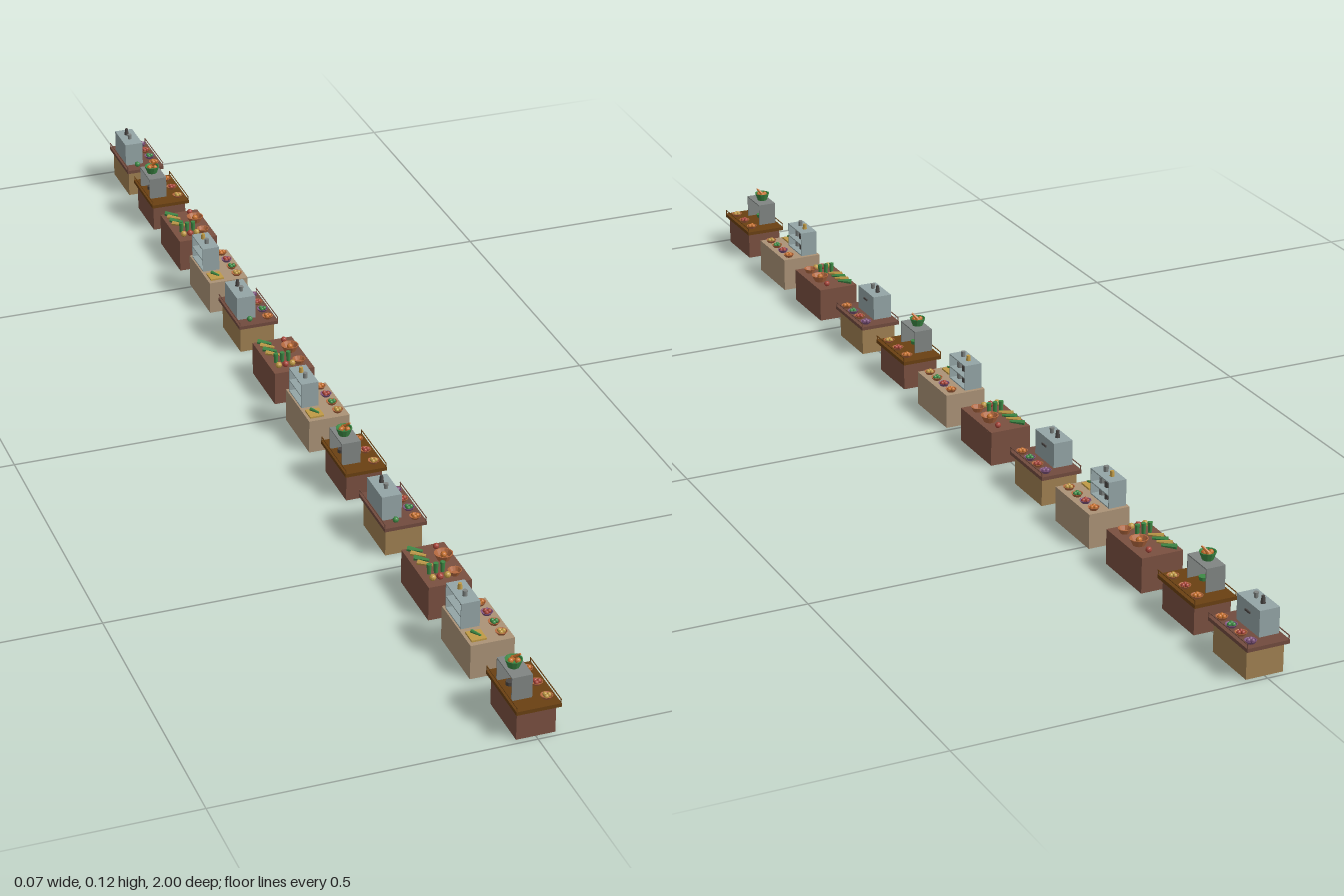
import * as THREE from 'three';

const WOOD = 0x7a5040, TAN = 0xab9377, OAK = 0xa08052, SLAB = 0x6a4012, SLAB_RED = 0x714b3e;
const STEEL = 0x808583, PALE = 0x94a5a6, CLAY = 0xb5693f, GREEN = 0x3d8a45, ORANGE = 0xc8722c;
const PURPLE = 0x80557f, RED = 0xa84438, YELLOW = 0xc09a45, DARK = 0x4a4644;

const materials = {};
function mat(color) {
  return materials[color] ??= new THREE.MeshStandardMaterial({ color, flatShading: true, side: THREE.DoubleSide });
}

function add(parent, name, geometry, color, x, y, z) {
  const mesh = new THREE.Mesh(geometry, mat(color));
  mesh.name = name;
  mesh.position.set(x, y, z);
  parent.add(mesh);
  return mesh;
}

// Box and cylinder positions give the middle of the underside
const box = (p, name, color, w, h, d, x, y, z) =>
  add(p, name, new THREE.BoxGeometry(w, h, d), color, x, y + h / 2, z);
const cyl = (p, name, color, rTop, rBottom, h, x, y, z) =>
  add(p, name, new THREE.CylinderGeometry(rTop, rBottom, h, 10), color, x, y + h / 2, z);
const ball = (p, name, color, r, x, y, z) =>
  add(p, name, new THREE.IcosahedronGeometry(r, 1), color, x, y + r, z);

// Open flared bowl with a thick wall
function bowl(p, color, r, h, x, y, z) {
  const profile = [[0, 0], [0.65, 0], [1, 1], [0.88, 1], [0.58, 0.25], [0, 0.25]]
    .map(([a, b]) => new THREE.Vector2(a * r, b * h));
  return add(p, 'bowl', new THREE.LatheGeometry(profile, 12), color, x, y, z);
}

// Long vegetable lying on the counter, turned about the vertical
function stick(p, color, r, length, x, y, z, turn) {
  const g = new THREE.CylinderGeometry(r * 0.5, r, length, 7).rotateX(Math.PI / 2);
  const mesh = add(p, 'longVegetable', g, color, x, y + r, z);
  mesh.rotation.y = turn;
  return mesh;
}

// Tray with a shallow heap of produce
function heap(p, dish, fruit, x, y, z) {
  bowl(p, dish, 0.0095, 0.005, x, y, z);
  for (let i = 0; i < 3; i++) {
    const a = i * Math.PI * 2 / 3;
    ball(p, 'produce', fruit, 0.0036, x + 0.0036 * Math.cos(a), y + 0.001, z + 0.0036 * Math.sin(a));
  }
}

// Cabinet under an overhanging top with slender side rails
function railedCounter(p, cabinet, top) {
  box(p, 'cabinet', cabinet, 0.061, 0.048, 0.097, 0, 0, 0);
  box(p, 'counterTop', top, 0.07, 0.006, 0.115, 0, 0.048, 0);
  for (const x of [-0.034, 0.034]) {
    box(p, 'rail', top, 0.0012, 0.0012, 0.115, x, 0.06, 0);
    for (const z of [-0.056, 0.056]) box(p, 'railPost', top, 0.0012, 0.006, 0.0012, x, 0.054, z);
  }
}

// Plain block counter
function blockCounter(p, color) {
  box(p, 'cabinet', color, 0.07, 0.056, 0.115, 0, 0, 0);
  box(p, 'counterTop', color, 0.07, 0.002, 0.115, 0, 0.056, 0);
}

// Counter with an open stand carrying a green bowl
function bowlStall(p) {
  railedCounter(p, WOOD, SLAB);
  const y = 0.054;
  for (const z of [-0.028, 0.028]) box(p, 'standSide', STEEL, 0.032, 0.037, 0.002, -0.015, y, z);
  box(p, 'standTop', STEEL, 0.032, 0.002, 0.058, -0.015, y + 0.037, 0);
  bowl(p, GREEN, 0.0135, 0.013, -0.017, 0.093, 0);
  [[-0.005, 0], [0.005, 0.003], [0.001, -0.005]].forEach(([dx, dz]) =>
    ball(p, 'produce', ORANGE, 0.0045, -0.017 + dx, 0.099, dz));
  const carrot = stick(p, ORANGE, 0.003, 0.014, -0.012, 0.107, 0, 0.5);
  carrot.rotation.x = -0.8;
  heap(p, CLAY, ORANGE, 0.02, y, -0.037);
  heap(p, CLAY, RED, 0.02, y, 0);
  heap(p, CLAY, YELLOW, 0.02, y, 0.037);
  cyl(p, 'pot', GREEN, 0.007, 0.006, 0.006, -0.017, y, 0.012);
  cyl(p, 'pot', DARK, 0.006, 0.006, 0.006, -0.017, y, -0.012);
}

// Counter with an open shelf rack and jars
function shelfStall(p) {
  blockCounter(p, TAN);
  const y = 0.058, zc = -0.02;
  for (const dz of [-0.03, 0.03]) box(p, 'rackSide', PALE, 0.03, 0.044, 0.002, -0.017, y, zc + dz);
  for (const h of [0, 0.02, 0.042]) box(p, 'rackShelf', PALE, 0.03, 0.002, 0.06, -0.017, y + h, zc);
  for (const h of [0.002, 0.022]) {
    for (let i = -1; i <= 1; i++) cyl(p, 'jar', i ? STEEL : DARK, 0.005, 0.005, 0.01, -0.016, y + h, zc + i * 0.018);
  }
  cyl(p, 'topJar', STEEL, 0.004, 0.004, 0.009, -0.018, y + 0.044, zc + 0.01);
  cyl(p, 'topJar', YELLOW, 0.003, 0.004, 0.009, -0.018, y + 0.044, zc - 0.01);
  box(p, 'cuttingBoard', YELLOW, 0.024, 0.003, 0.026, -0.018, y, 0.036);
  stick(p, GREEN, 0.003, 0.018, -0.018, y + 0.003, 0.036, 0.5);
  [[CLAY, ORANGE], [PURPLE, RED], [CLAY, GREEN], [CLAY, YELLOW]].forEach(([dish, fruit], i) =>
    heap(p, dish, fruit, 0.02, y, -0.043 + i * 0.028));
}

// Counter spread with loose vegetables and a large clay bowl
function vegetableStall(p) {
  blockCounter(p, WOOD);
  const y = 0.058;
  bowl(p, CLAY, 0.015, 0.011, 0.016, y, -0.012);
  ball(p, 'produce', ORANGE, 0.005, 0.016, y + 0.003, -0.012);
  bowl(p, CLAY, 0.011, 0.008, 0.016, y, 0.034);
  for (let i = 0; i < 4; i++) {
    stick(p, i % 2 ? YELLOW : GREEN, 0.0045, 0.024, -0.018, y, -0.044 + i * 0.014, 0.9);
  }
  for (let i = 0; i < 3; i++) {
    cyl(p, 'stalk', GREEN, 0.004, 0.003, 0.017, -0.02 + i * 0.011, y, 0.02);
    ball(p, 'produce', i === 1 ? RED : YELLOW, 0.0055, -0.022 + i * 0.012, y, 0.04);
  }
  ball(p, 'produce', RED, 0.005, 0.016, y, -0.043);
}

// Counter with a closed pale cabinet and dishes
function cabinetStall(p) {
  railedCounter(p, OAK, SLAB_RED);
  const y = 0.054;
  box(p, 'paleCabinet', PALE, 0.033, 0.042, 0.066, -0.0145, y, 0);
  cyl(p, 'bottle', DARK, 0.0025, 0.004, 0.012, -0.015, 0.096, -0.012);
  cyl(p, 'cup', STEEL, 0.004, 0.003, 0.009, -0.015, 0.096, 0.008);
  box(p, 'handle', DARK, 0.002, 0.003, 0.014, 0.003, 0.08, 0);
  [[PURPLE, PURPLE], [CLAY, RED], [PURPLE, GREEN], [CLAY, ORANGE]].forEach(([dish, fruit], i) =>
    heap(p, dish, fruit, 0.021, y, -0.042 + i * 0.028));
  ball(p, 'produce', GREEN, 0.005, -0.012, y, 0.044);
}

export function createModel() {
  const model = new THREE.Group();
  model.name = 'stallRow';
  const row = [
    [bowlStall, 0.9425], [shelfStall, 0.768], [vegetableStall, 0.6], [cabinetStall, 0.414],
    [bowlStall, 0.238], [shelfStall, 0.066], [vegetableStall, -0.105], [cabinetStall, -0.289],
    [shelfStall, -0.452], [vegetableStall, -0.624], [bowlStall, -0.788], [cabinetStall, -0.9425],
  ];
  for (const [build, z] of row) {
    const stall = new THREE.Group();
    stall.name = build.name;
    build(stall);
    stall.position.z = z;
    model.add(stall);
  }
  return model;
}
